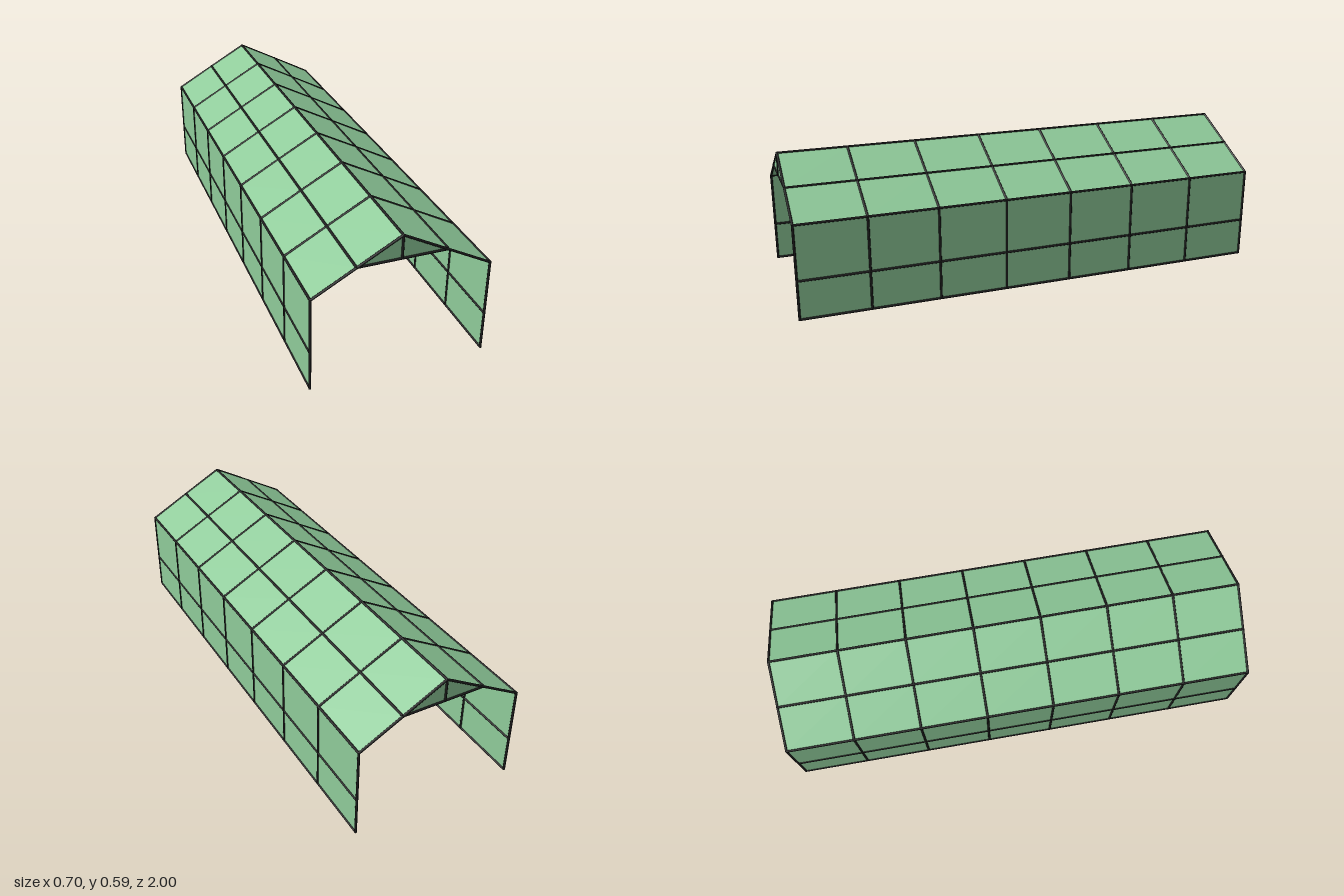
import * as THREE from 'three';

const R = 0.005;           // bar radius
const END = 1 - R;         // z of the end frames
const BAYS = 7;

// cross-section nodes [x, y], from left base over the ridge to right base
const profile = [
  [0.345, R], [0.345, 0.165], [0.345, 0.392], [0.17, 0.487],
  [-0.008, 0.581],
  [-0.178, 0.487], [-0.345, 0.392], [-0.345, 0.165], [-0.345, R],
];
const ridge = profile[4], tieLeft = profile[3], tieRight = profile[5];

const barMaterial = new THREE.MeshStandardMaterial({ color: 0x1c1c1c });
const glassMaterial = new THREE.MeshStandardMaterial({ color: 0x8fcb9a, side: THREE.DoubleSide });

// round bar between two points
function bar(name, a, b) {
  const from = new THREE.Vector3(...a), to = new THREE.Vector3(...b);
  const dir = to.clone().sub(from);
  const mesh = new THREE.Mesh(new THREE.CylinderGeometry(R, R, dir.length() + R, 8), barMaterial);
  mesh.name = name;
  mesh.position.copy(from).add(to).multiplyScalar(0.5);
  mesh.quaternion.setFromUnitVectors(new THREE.Vector3(0, 1, 0), dir.normalize());
  return mesh;
}

// flat pane through three or four corners
function pane(name, corners) {
  const geometry = new THREE.BufferGeometry();
  geometry.setAttribute('position', new THREE.Float32BufferAttribute(corners.flat(), 3));
  geometry.setIndex(corners.length === 4 ? [0, 1, 2, 0, 2, 3] : [0, 1, 2]);
  geometry.computeVertexNormals();
  const mesh = new THREE.Mesh(geometry, glassMaterial);
  mesh.name = name;
  return mesh;
}

export function createModel() {
  const model = new THREE.Group();
  model.name = 'greenhouse';
  const frame = new THREE.Group();
  frame.name = 'frame';
  const glazing = new THREE.Group();
  glazing.name = 'glazing';
  model.add(frame, glazing);
  const zAt = (i) => -END + (2 * END * i) / BAYS;

  // arched ribs: two posts and two rafters each
  const ribPoints = [0, 2, 4, 6, 8].map((i) => profile[i]);
  for (let i = 0; i <= BAYS; i++) {
    for (let k = 0; k < 4; k++) {
      const name = k === 0 || k === 3 ? 'post' : 'rafter';
      frame.add(bar(name, [...ribPoints[k], zAt(i)], [...ribPoints[k + 1], zAt(i)]));
    }
  }

  // lengthwise rails
  const railNames = ['baseRail', 'wallRail', 'eaveRail', 'purlin', 'ridgeBar'];
  profile.forEach((p, i) => {
    frame.add(bar(railNames[Math.min(i, 8 - i)], [...p, -END + R / 2], [...p, END - R / 2]));
  });

  // wall and roof panes, one per bay and strip
  for (let i = 0; i < BAYS; i++) {
    for (let k = 0; k < 8; k++) {
      const a = profile[k], b = profile[k + 1];
      glazing.add(pane(k < 2 || k > 5 ? 'wallPane' : 'roofPane', [
        [...a, zAt(i + 1)], [...a, zAt(i)], [...b, zAt(i)], [...b, zAt(i + 1)],
      ]));
    }
  }

  // gables at both ends: tie beam, king post and triangular pane
  for (const z of [-END, END]) {
    frame.add(bar('tieBeam', [...tieLeft, z], [...tieRight, z]));
    frame.add(bar('kingPost', [ridge[0], tieLeft[1], z], [...ridge, z]));
    glazing.add(pane('gablePane', [[...tieRight, z], [...tieLeft, z], [...ridge, z]]));
  }
  return model;
}
